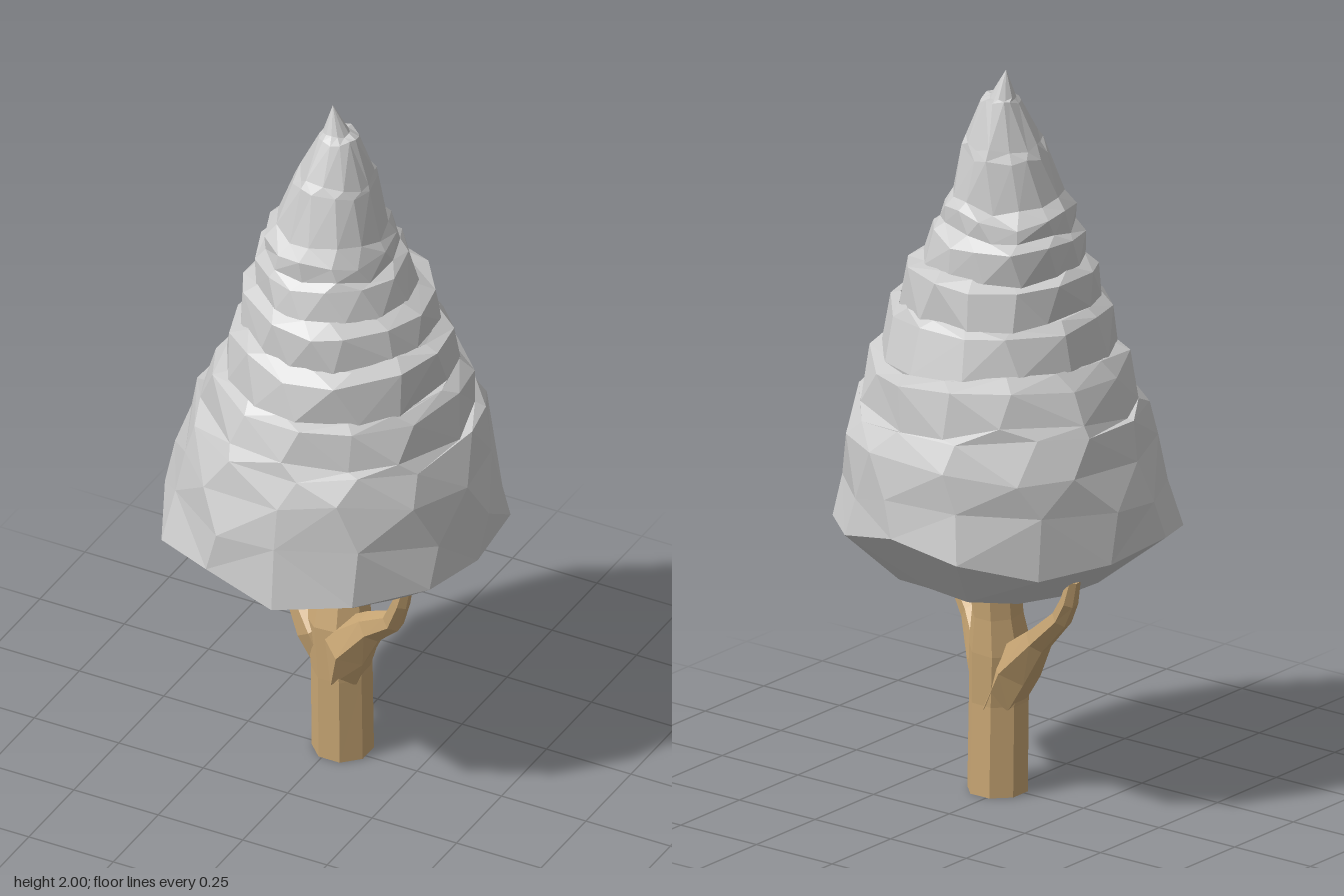
import * as THREE from 'three';

const leafMat = new THREE.MeshStandardMaterial({ color: 0xcccccc, flatShading: true });
const barkMat = new THREE.MeshStandardMaterial({ color: 0xc8a674, flatShading: true });

// Small seeded generator, returns -1..1
function seeded(seed) {
  let s = seed;
  return () => {
    s = (s * 16807) % 2147483647;
    return (s / 2147483647) * 2 - 1;
  };
}

// Skin a stack of rings (equal point counts) and close it with two end points
function loft(rings, start, end, name, material) {
  const pos = [];
  const tri = (...pts) => pts.forEach((p) => pos.push(p.x, p.y, p.z));
  const n = rings[0].length;
  const last = rings[rings.length - 1];
  for (let i = 0; i < n; i++) {
    const j = (i + 1) % n;
    tri(start, rings[0][i], rings[0][j]);
    for (let k = 0; k < rings.length - 1; k++) {
      const a = rings[k], b = rings[k + 1];
      // Split each quad along its shorter diagonal
      if (a[j].distanceTo(b[i]) < a[i].distanceTo(b[j])) {
        tri(a[i], b[i], a[j]);
        tri(a[j], b[i], b[j]);
      } else {
        tri(a[i], b[i], b[j]);
        tri(a[i], b[j], a[j]);
      }
    }
    tri(last[i], end, last[j]);
  }
  const geo = new THREE.BufferGeometry();
  geo.setAttribute('position', new THREE.Float32BufferAttribute(pos, 3));
  geo.computeVertexNormals();
  const mesh = new THREE.Mesh(geo, material);
  mesh.name = name;
  return mesh;
}

// Tapered faceted limb through points [x, y, z, radius]
function limb(points, sides, name) {
  const path = points.map((p) => new THREE.Vector3(p[0], p[1], p[2]));
  const up = new THREE.Vector3(0, 1, 0);
  const rings = path.map((c, k) => {
    const dir = path[Math.min(k + 1, path.length - 1)].clone().sub(path[Math.max(k - 1, 0)]).normalize();
    if (k === 0) dir.copy(up);
    const q = new THREE.Quaternion().setFromUnitVectors(up, dir);
    return Array.from({ length: sides }, (_, i) => {
      const a = ((i + 0.5) / sides) * Math.PI * 2;
      return new THREE.Vector3(Math.cos(a), 0, Math.sin(a)).multiplyScalar(points[k][3]).applyQuaternion(q).add(c);
    });
  });
  return loft(rings, path[0], path[path.length - 1], name, barkMat);
}

// Ragged conical crown
function crown() {
  // Widest rim as [radius, y], going round from +x towards +z
  const rim = [
    [0.43, 0.72], [0.45, 0.74], [0.445, 0.73], [0.445, 0.705], [0.44, 0.75], [0.46, 0.72], [0.452, 0.76],
    [0.435, 0.74], [0.43, 0.72], [0.46, 0.77], [0.435, 0.8], [0.447, 0.75], [0.465, 0.73],
  ];
  // Rings above the rim: [y, radius, centre x, centre z, height jitter]
  const profile = [
    [0.87, 0.428, 0.005, -0.005, 0.03],
    [0.99, 0.412, 0.01, -0.01, 0.03],
    [1.08, 0.378, 0.01, -0.01, 0.02],
    [1.10, 0.362, 0.01, -0.01, 0.015],
    [1.20, 0.34, 0.025, -0.01, 0.015],
    [1.225, 0.3, 0.025, -0.005, 0.01],
    [1.22, 0.307, 0.025, 0, 0.01],
    [1.335, 0.288, 0.03, 0.005, 0.012],
    [1.36, 0.253, 0.03, 0, 0.01],
    [1.355, 0.258, 0.025, 0, 0.008],
    [1.45, 0.248, 0.02, 0, 0.012],
    [1.475, 0.208, 0.015, 0, 0.01],
    [1.47, 0.213, 0.01, 0, 0.008],
    [1.55, 0.2, -0.005, -0.003, 0.012],
    [1.57, 0.177, -0.005, 0, 0.01],
    [1.62, 0.172, -0.005, 0.003, 0.015],
    [1.65, 0.145, 0, 0, 0.012],
    [1.78, 0.112, 0, -0.01, 0.015],
    [1.80, 0.099, 0.005, -0.013, 0.01],
    [1.915, 0.053, 0.01, -0.017, 0.008],
    [1.925, 0.035, 0, -0.02, 0.005],
  ];
  const rnd = seeded(4217);
  const n = rim.length;
  const turn = (Math.PI * 2) / n;
  const polar = (a, r, y, cx, cz) => new THREE.Vector3(cx + Math.cos(a) * r, y, cz + Math.sin(a) * r);
  // Underside edge hangs below the rim
  const under = rim.map(([r, y], i) => polar(i * turn, r - 0.17, 0.61 + 0.25 * (y - 0.74), 0.01, -0.02));
  const skirt = rim.map(([r, y], i) => polar(i * turn, r, y, 0, 0));
  const upper = profile.map(([y, r, cx, cz, jit], k) =>
    rim.map((_, i) => {
      const a = (i + 0.2 * rnd() + 0.25 * (k % 2)) * turn;
      // Ledges undulate together around the trunk axis
      const wave = 0.03 * r * Math.sin(2 * a + 6 * y) + 0.02 * r * Math.sin(3 * a - 9 * y);
      return polar(a, r * (1.008 + 0.028 * rnd()), y + wave + jit * rnd(), cx, cz);
    })
  );
  const base = new THREE.Vector3(0.01, 0.64, 0);
  const tip = new THREE.Vector3(-0.01, 2, -0.02);
  return loft([under, skirt, ...upper], base, tip, 'crown', leafMat);
}

export function createModel() {
  const tree = new THREE.Group();
  tree.name = 'tree';

  // Main stem, running up inside the crown
  tree.add(limb([
    [0.022, 0, -0.015, 0.082],
    [0.022, 0.25, -0.01, 0.081],
    [0.012, 0.4, -0.015, 0.086],
    [0.01, 0.5, -0.03, 0.07],
    [0.01, 0.66, -0.045, 0.066],
  ], 8, 'trunk'));

  // Two forked branches leaning opposite ways, merging low into the stem
  tree.add(limb([
    [0.03, 0.24, 0, 0.066],
    [0.062, 0.36, 0.02, 0.074],
    [0.145, 0.452, 0.05, 0.042],
    [0.225, 0.515, 0.085, 0.03],
    [0.262, 0.6, 0.11, 0.024],
    [0.287, 0.68, 0.125, 0.018],
  ], 6, 'leftBranch'));
  tree.add(limb([
    [0.015, 0.24, -0.02, 0.066],
    [-0.042, 0.36, -0.02, 0.072],
    [-0.145, 0.46, -0.055, 0.038],
    [-0.245, 0.55, -0.085, 0.028],
    [-0.285, 0.61, -0.105, 0.024],
    [-0.312, 0.68, -0.12, 0.018],
  ], 6, 'rightBranch'));

  tree.add(crown());
  return tree;
}
